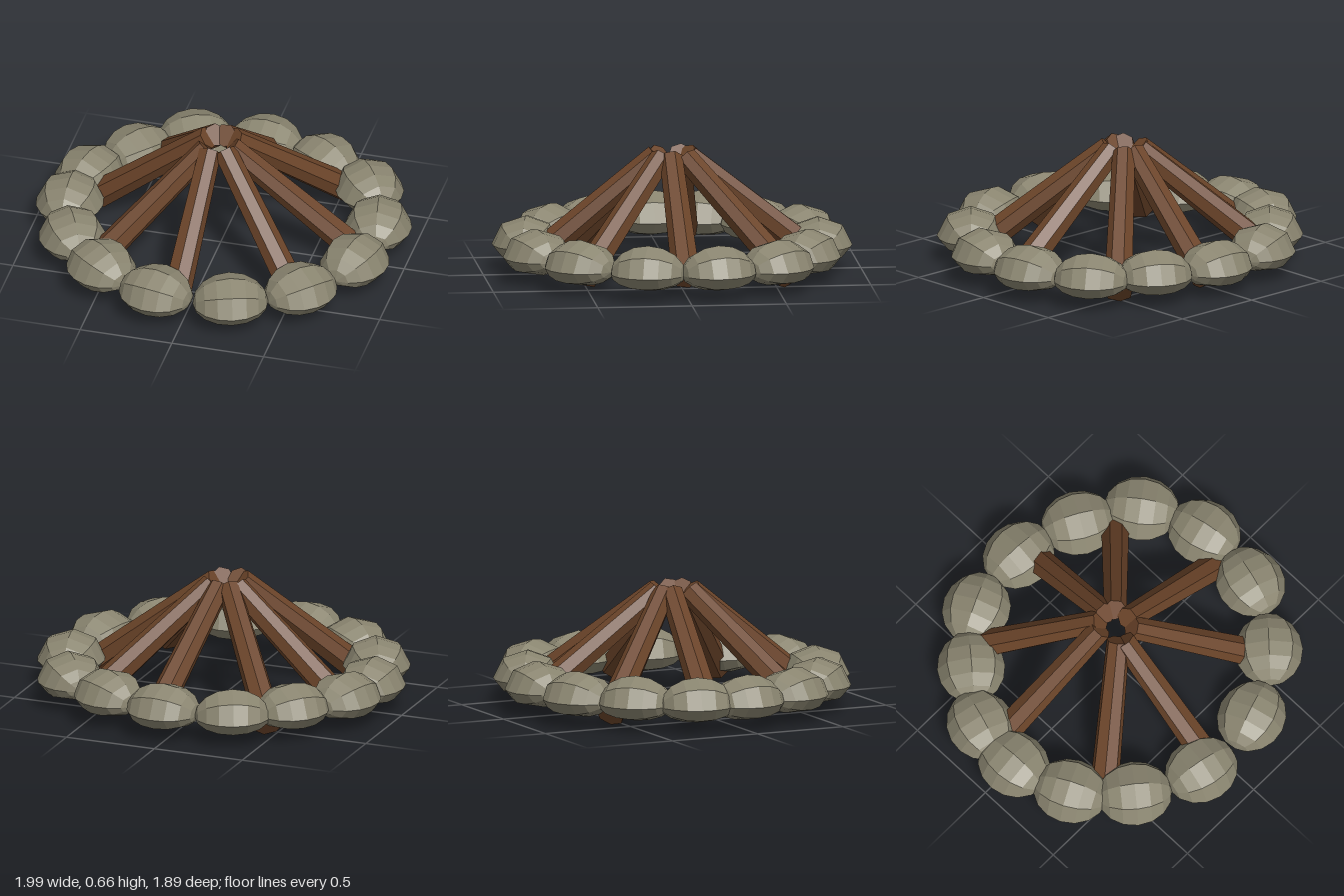
import * as THREE from 'three';

const stoneMaterial = new THREE.MeshStandardMaterial({ color: 0x8a8570, flatShading: true });
const logMaterial = new THREE.MeshStandardMaterial({ color: 0x6b4429, flatShading: true });

// Ring stones: centre x, z
const STONES = [
  [0.04, -0.77], [0.39, -0.67], [0.68, -0.49], [0.815, -0.16], [0.785, 0.21],
  [0.58, 0.545], [0.25, 0.74], [-0.15, 0.76], [-0.49, 0.6], [-0.715, 0.35],
  [-0.815, 0.03], [-0.78, -0.245], [-0.585, -0.51], [-0.33, -0.72],
];

// Logs: top x, z, then foot x, y, z
const LOGS = [
  [0.06, 0.01, 0.72, 0.1, 0.0],
  [0.05, -0.07, 0.56, 0.065, -0.57],
  [0.0, -0.09, 0.1, 0.09, -0.76],
  [-0.05, -0.08, -0.5, 0.075, -0.62],
  [-0.08, -0.05, -0.7, 0.1, -0.14],
  [-0.06, 0.06, -0.54, 0.1, 0.43],
  [-0.04, 0.08, -0.06, 0.09, 0.71],
  [0.04, 0.06, 0.55, 0.085, 0.52],
];
const LOG_TOP = 0.62;

// Faceted pebble, poles along the ring, underside flatter than the dome
function stoneGeometry() {
  const geometry = new THREE.SphereGeometry(1, 8, 8);
  geometry.rotateZ(Math.PI / 2);
  const p = geometry.attributes.position;
  for (let i = 0; i < p.count; i++) {
    const y = p.getY(i);
    p.setXYZ(i, p.getX(i) * 0.2, y * (y > 0 ? 0.15 : 0.09), p.getZ(i) * 0.18);
  }
  geometry.computeVertexNormals();
  return geometry;
}

// Tapered log between two points
function makeLog([tx, tz, fx, fy, fz]) {
  const top = new THREE.Vector3(tx, LOG_TOP, tz);
  const foot = new THREE.Vector3(fx, fy, fz);
  const axis = top.clone().sub(foot);
  const log = new THREE.Mesh(new THREE.CylinderGeometry(0.062, 0.077, axis.length(), 7), logMaterial);
  log.position.copy(top).add(foot).multiplyScalar(0.5);
  log.quaternion.setFromUnitVectors(new THREE.Vector3(0, 1, 0), axis.normalize());
  return log;
}

export function createModel() {
  const campfire = new THREE.Group();
  campfire.name = 'campfire';

  // Ring of stones, each turned along the circle
  const ring = new THREE.Group();
  ring.name = 'stoneRing';
  const geometry = stoneGeometry();
  STONES.forEach(([x, z], i) => {
    const stone = new THREE.Mesh(geometry, stoneMaterial);
    stone.name = `stone${i + 1}`;
    stone.position.set(x, 0.14, z);
    stone.rotation.y = Math.atan2(x, z);
    ring.add(stone);
  });

  // Logs leaning together at the centre
  const pile = new THREE.Group();
  pile.name = 'logPile';
  LOGS.forEach((ends, i) => {
    const log = makeLog(ends);
    log.name = `log${i + 1}`;
    pile.add(log);
  });

  campfire.add(ring, pile);
  return campfire;
}
